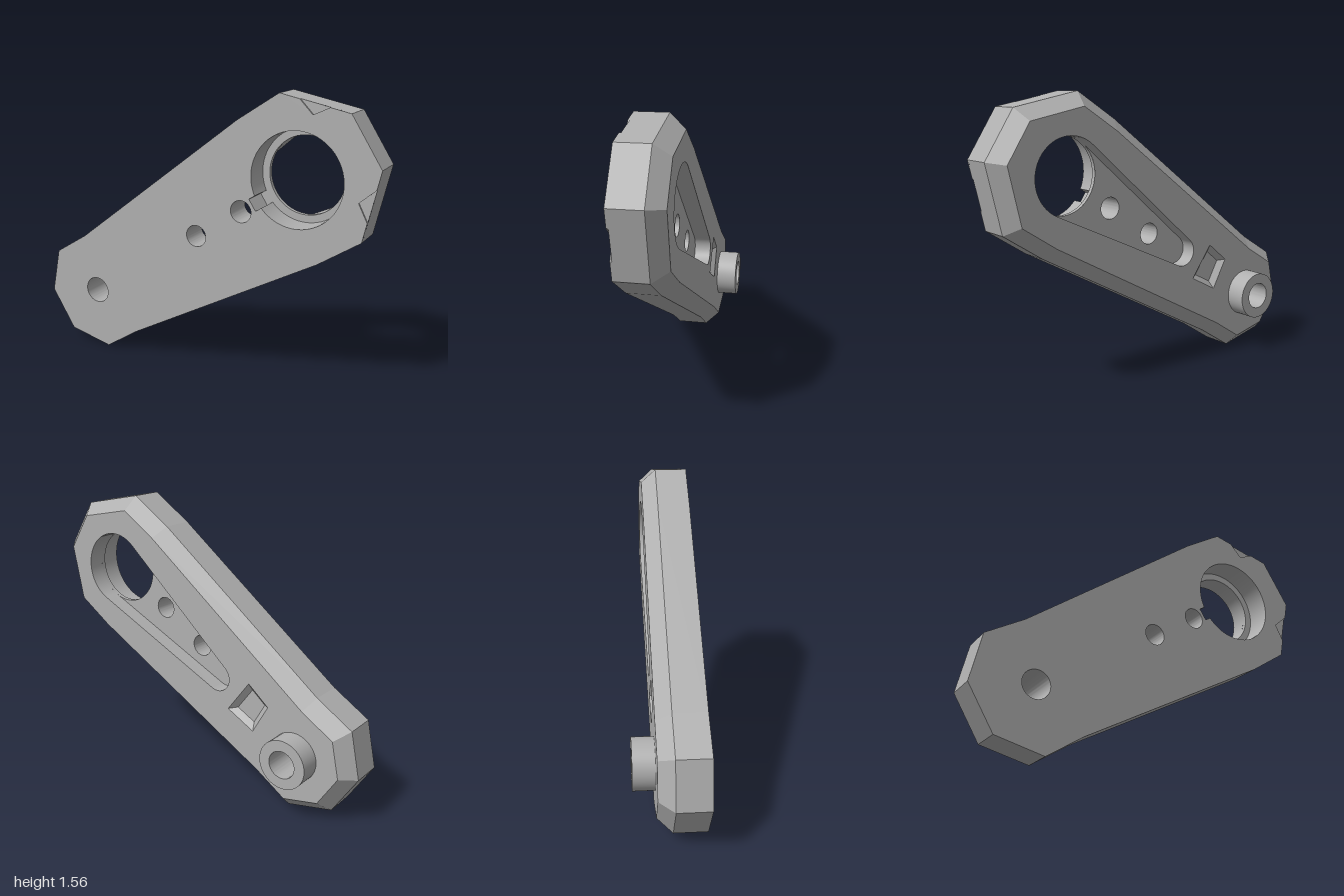
import * as THREE from 'three';
import { mergeGeometries, toCreasedNormals } from 'three/addons/utils/BufferGeometryUtils.js';

const V = (x, y) => new THREE.Vector2(x, y);
const pts = (list) => list.map(([x, y]) => V(x, y));

// depths, front to back
const FRONT = 0.185, NOTCH = 0.175, LEDGE = 0.045, FLOOR = 0.02;
const CHAMFER = 0.01, BACK = -0.07, BOSS = -0.185;

function arc(c, r, a0, a1, n = 64) {
  const out = [];
  for (let i = 0; i <= n; i++) {
    const a = a0 + (a1 - a0) * i / n;
    out.push(V(c.x + r * Math.cos(a), c.y + r * Math.sin(a)));
  }
  return out;
}
const circle = (c, r) => arc(c, r, 0, Math.PI * 2).slice(0, -1);

// offset a counter-clockwise loop inwards
function inset(loop, d) {
  const n = loop.length;
  return loop.map((p, i) => {
    const a = p.clone().sub(loop[(i + n - 1) % n]).normalize();
    const b = loop[(i + 1) % n].clone().sub(p).normalize();
    const na = V(-a.y, a.x), nb = V(-b.y, b.x);
    return p.clone().addScaledVector(na.clone().add(nb), d / (1 + na.dot(nb)));
  });
}

// strip of side faces between a front loop and a back loop
function wall(front, zf, back, zb, { inward = false, smooth = false } = {}) {
  const pos = [], n = front.length;
  for (let i = 0; i < n; i++) {
    const j = (i + 1) % n;
    const f0 = [front[i].x, front[i].y, zf], f1 = [front[j].x, front[j].y, zf];
    const b0 = [back[i].x, back[i].y, zb], b1 = [back[j].x, back[j].y, zb];
    if (inward) pos.push(...b0, ...f1, ...b1, ...b0, ...f0, ...f1);
    else pos.push(...b0, ...b1, ...f1, ...b0, ...f1, ...f0);
  }
  const g = new THREE.BufferGeometry();
  g.setAttribute('position', new THREE.Float32BufferAttribute(pos, 3));
  g.computeVertexNormals();
  return smooth ? toCreasedNormals(g, 0.4) : g;
}
const bore = (loop, zf, zb) => wall(loop, zf, loop, zb, { inward: true, smooth: true });

// flat face at depth z, facing front or back
function face(loop, holes, z, back = false) {
  const s = new THREE.Shape(loop);
  s.holes = holes.map((h) => new THREE.Path(h));
  const g = new THREE.ShapeGeometry(s);
  if (back) g.setIndex(Array.from(g.index.array).reverse());
  const out = g.toNonIndexed();
  out.translate(0, 0, z);
  out.deleteAttribute('uv');
  out.computeVertexNormals();
  return out;
}

export function createModel() {
  const group = new THREE.Group();
  const grey = new THREE.MeshStandardMaterial({ color: 0xb0b0b0 });
  grey.name = 'grey';
  const add = (name, parts) => {
    const m = new THREE.Mesh(mergeGeometries(parts), grey);
    m.name = name;
    group.add(m);
  };

  const outline = pts([[-0.60, 0], [-0.40, 0.13], [0.70, 0.73], [0.92, 0.875], [1, 1.235], [0.84, 1.485],
    [0.475, 1.56], [0.25, 1.415], [-0.74, 0.665], [-0.945, 0.54], [-1, 0.285], [-0.86, 0.06]]);
  const sideNotch = pts([[0.942, 0.976], [0.895, 1.067], [0.979, 1.14]]);
  const topNotch = pts([[0.735, 1.5065], [0.65, 1.467], [0.58, 1.5385]]);
  const notched = [...outline.slice(0, 4), ...sideNotch, ...outline.slice(4, 6), ...topNotch, ...outline.slice(6)];
  const backLoop = inset(outline, 0.07);

  const big = V(0.575, 1.14), tip = V(-0.165, 0.66), pin = V(-0.665, 0.342);
  const R = 0.205, r = 0.08;
  const axis = tip.clone().sub(big);
  const psi = axis.angle(), alpha = Math.acos((R - r) / axis.length());
  const e = axis.clone().normalize(), n = V(-e.y, e.x);

  // stepped bore with a keyway pointing down the arm
  const boreR = 0.245, keyHalf = 0.035, d = Math.asin(keyHalf / boreR);
  const key = (s) => big.clone().addScaledVector(e, 0.28).addScaledVector(n, s * keyHalf);
  const keyed = [...arc(big, boreR, psi + d, psi - d + Math.PI * 2), key(-1), key(1)];
  const lip = circle(big, R);

  // tapered slot on the back
  const tipArc = arc(tip, r, psi - alpha, psi + alpha, 24);
  const slot = [...arc(big, R, psi + alpha, psi - alpha + Math.PI * 2, 48), ...tipArc];
  const slotFloor = [...tipArc, ...arc(big, R, psi + alpha, psi - alpha, 40)];

  const smallHoles = [V(0.275, 0.945), V(0.01, 0.775)].map((c) => circle(c, 0.059));
  const pinHole = circle(pin, 0.075), bossLoop = circle(pin, 0.134);

  // four-sided recess with sloping sides
  const recess = pts([[-0.373, 0.673], [-0.497, 0.571], [-0.406, 0.408], [-0.242, 0.494]]);
  const recessFloor = inset(recess, 0.03);

  add('plateFront', [
    face(notched, [keyed, pinHole, ...smallHoles], FRONT),
    face(sideNotch, [], NOTCH),
    face(topNotch, [], NOTCH),
  ]);
  add('plateEdge', [
    wall(notched, FRONT, notched, NOTCH),
    wall(outline, NOTCH, outline, CHAMFER),
    wall(outline, CHAMFER, backLoop, BACK),
  ]);
  add('plateBack', [face(backLoop, [slot, recess, bossLoop], BACK, true)]);
  add('bearingBore', [
    bore(keyed, FRONT, LEDGE),
    face(keyed, [lip], LEDGE),
    bore(lip, LEDGE, FLOOR),
  ]);
  add('backSlot', [
    bore(slot, FLOOR, BACK),
    face(slotFloor, smallHoles, FLOOR, true),
  ]);
  add('smallHoles', smallHoles.map((h) => bore(h, FRONT, FLOOR)));
  add('backRecess', [
    wall(recessFloor, BACK + 0.03, recess, BACK, { inward: true }),
    face(recessFloor, [], BACK + 0.03, true),
  ]);
  add('pivotBoss', [
    wall(bossLoop, BACK, bossLoop, BOSS, { smooth: true }),
    face(bossLoop, [pinHole], BOSS, true),
    bore(pinHole, FRONT, BOSS),
  ]);
  return group;
}
